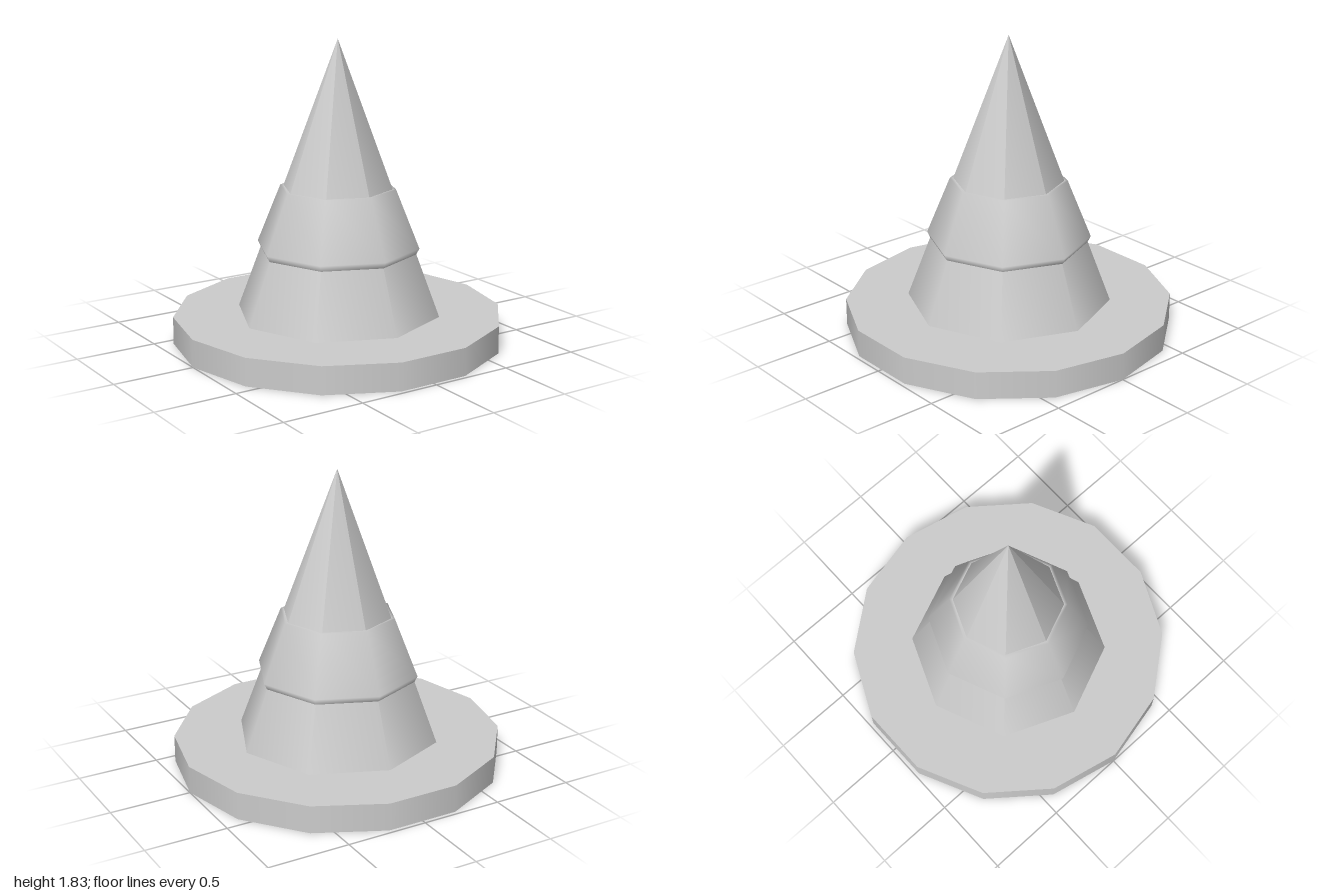
import * as THREE from 'three';

export function createModel() {
  const group = new THREE.Group();
  const grey = new THREE.MeshStandardMaterial({ color: 0xcccccc });
  grey.name = 'lightGrey';

  const add = (name, geometry, y = 0) => {
    const mesh = new THREE.Mesh(geometry, grey);
    mesh.name = name;
    mesh.position.y = y;
    group.add(mesh);
    return mesh;
  };

  // Fourteen-sided base disc with corners on the x axis
  const baseHeight = 0.168;
  add('base', new THREE.CylinderGeometry(1, 1, baseHeight, 14).rotateY(Math.PI / 2), baseHeight / 2);

  // Eight-sided cone standing on the disc
  const coneHeight = 1.664;
  add('cone', new THREE.ConeGeometry(0.623, coneHeight, 8, 1, true), baseHeight + coneHeight / 2);

  // Raised band around the cone, softly shaded across its rims
  const bandProfile = [
    [0.48, 0.55], [0.498, 0.587], [0.354, 0.942], [0.332, 0.942],
  ].map(([r, y]) => new THREE.Vector2(r, y));
  add('band', new THREE.LatheGeometry(bandProfile, 8));

  return group;
}
